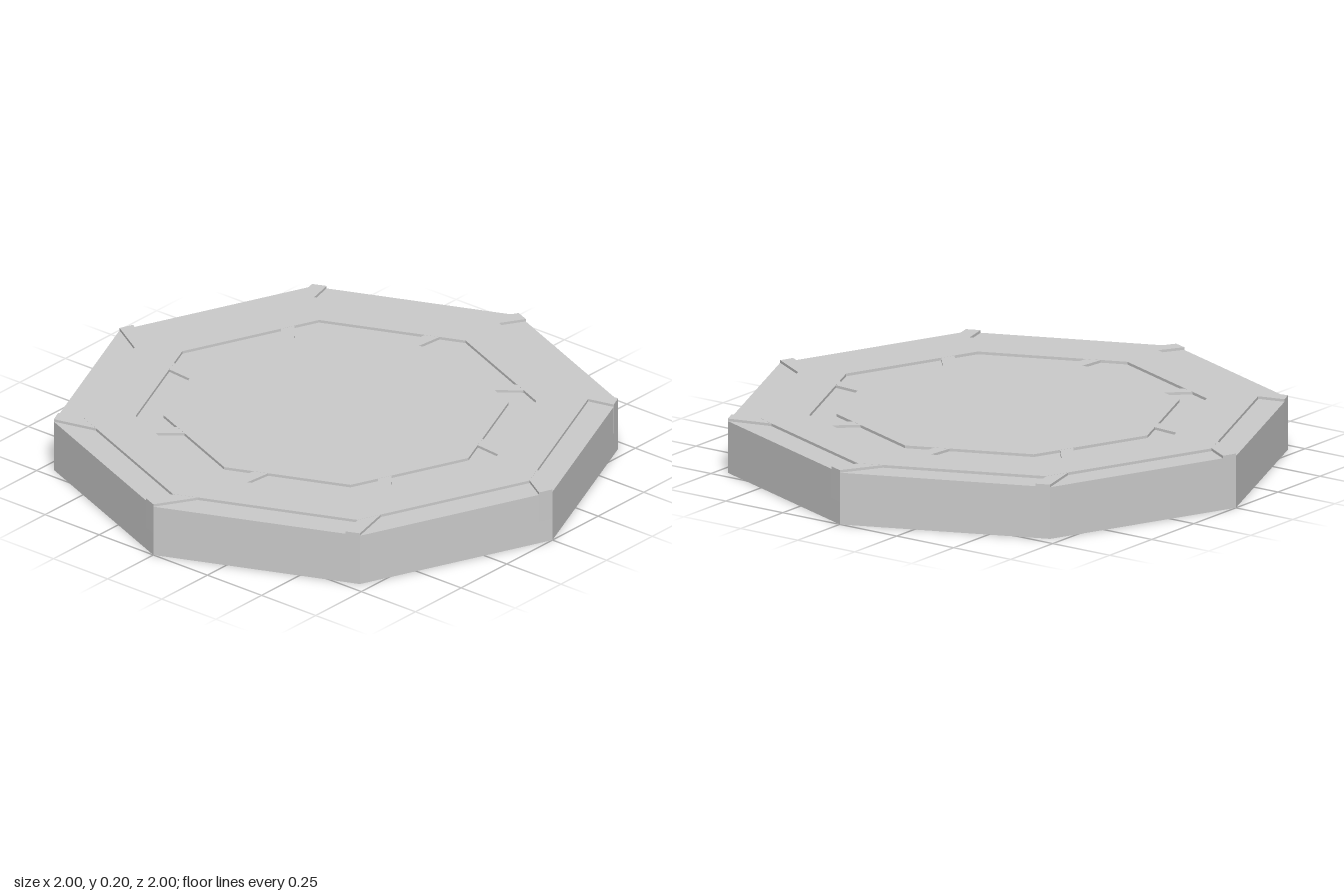
import * as THREE from 'three';
import { mergeGeometries } from 'three/addons/utils/BufferGeometryUtils.js';

const material = new THREE.MeshStandardMaterial({
  color: 0xcccccc, flatShading: true, side: THREE.DoubleSide,
});

// Corners as [x, z]
const octagon = (r) => Array.from({ length: 8 }, (_, i) => {
  const a = (i * Math.PI) / 4;
  return [r * Math.cos(a), r * Math.sin(a)];
});
const toPoints = (pts) => pts.map(([x, z]) => new THREE.Vector2(x, -z));

// Flat horizontal face at height y, with an optional hole
function cap(outline, y, hole) {
  const shape = new THREE.Shape(toPoints(outline));
  if (hole) shape.holes.push(new THREE.Path(toPoints(hole)));
  return new THREE.ShapeGeometry(shape).rotateX(-Math.PI / 2).translate(0, y, 0).toNonIndexed();
}

// Thin upright wall following a closed outline
function wall(outline, y0, y1) {
  const quads = outline.map(([ax, az], i) => {
    const [bx, bz] = outline[(i + 1) % outline.length];
    const g = new THREE.PlaneGeometry(Math.hypot(bx - ax, bz - az), y1 - y0);
    g.rotateY(Math.atan2(bx - ax, bz - az) + Math.PI / 2);
    return g.translate((ax + bx) / 2, (y0 + y1) / 2, (az + bz) / 2).toNonIndexed();
  });
  return mergeGeometries(quads);
}

function part(name, ...geometries) {
  const geometry = mergeGeometries(geometries);
  geometry.computeVertexNormals();
  const mesh = new THREE.Mesh(geometry, material);
  mesh.name = name;
  return mesh;
}

export function createModel() {
  const group = new THREE.Group();
  group.name = 'octagonalPlatform';
  const TOP = 0.2, LOW = 0.19;
  const [rim, ringOut, ringIn, disc] = [1, 0.893, 0.71, 0.612].map(octagon);

  // Hollow outer shell with a slightly sunken border
  group.add(part('outerShell', cap(rim, LOW, ringOut), wall(rim, 0, LOW)));

  // Raised ring, open underneath
  group.add(part('raisedRing', cap(ringOut, TOP, ringIn),
    wall(ringOut, 0.025, TOP), wall(ringIn, 0.035, TOP)));

  // Sunken groove around the centre
  group.add(part('innerGroove', cap(ringIn, LOW, disc)));

  // Raised centre plate
  group.add(part('centrePlate', cap(disc, TOP), wall(disc, 0.085, TOP)));

  // Bent ribs sweeping from each corner to the centre plate
  const rib = [[0.98, 0.05], [1, 0], [0.79, -0.126], [0.55, -0.15], [0.56, -0.101], [0.762, -0.081]];
  for (let i = 0; i < 8; i++) {
    const mesh = part('rib' + (i + 1), cap(rib, TOP - 0.0005), wall(rib, 0.085, TOP - 0.0005));
    mesh.rotation.y = (i * Math.PI) / 4;
    group.add(mesh);
  }
  return group;
}
